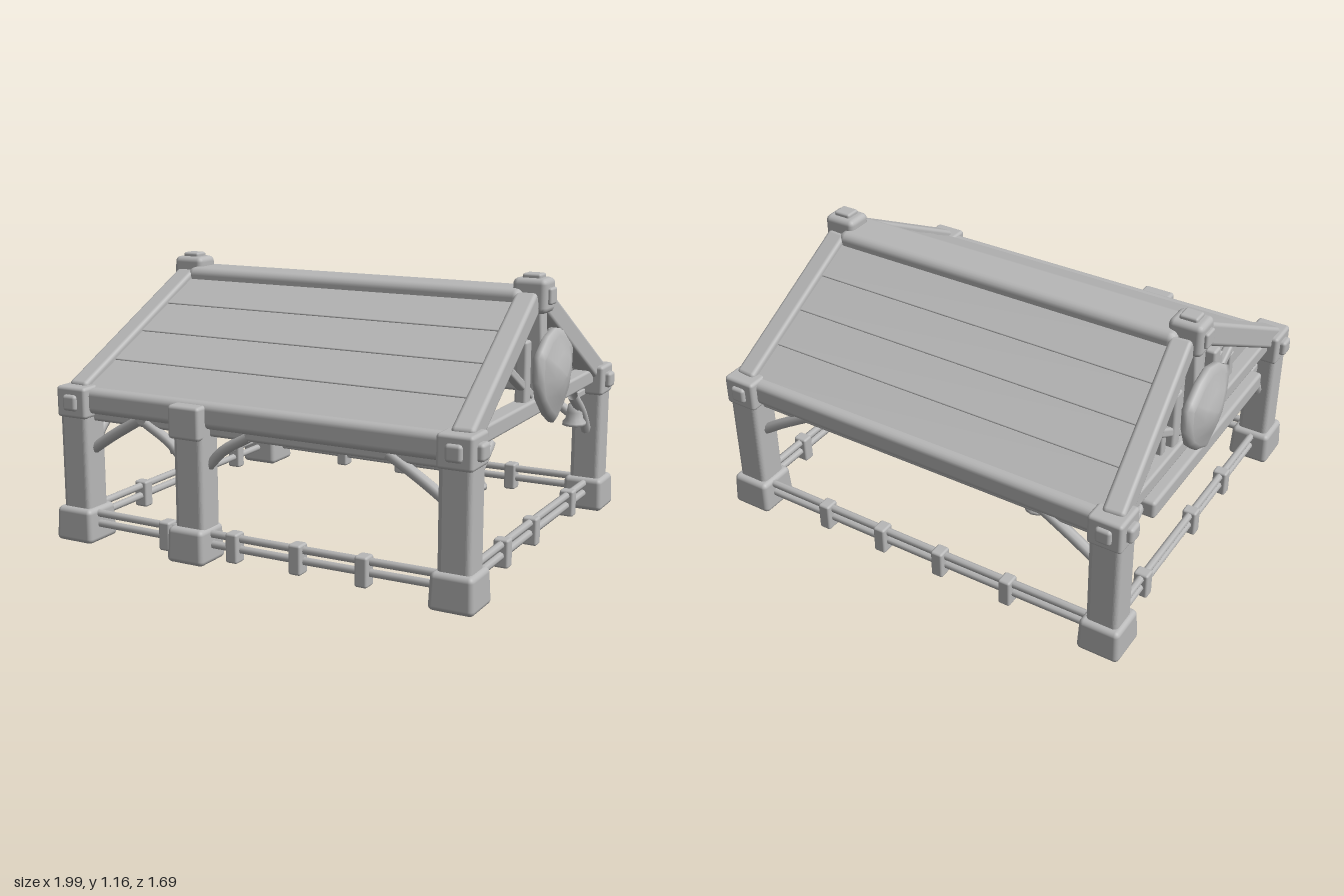
import * as THREE from 'three';
import { RoundedBoxGeometry } from 'three/addons/geometries/RoundedBoxGeometry.js';

const wood = new THREE.MeshStandardMaterial({ color: 0xb8b8b8 });
wood.name = 'pale grey';
wood.side = THREE.DoubleSide;

const V = (x, y, z) => new THREE.Vector3(x, y, z);
const RIDGE_Z = -0.06;

export function createModel() {
  const model = new THREE.Group();
  model.name = 'openShelter';

  function add(name, geometry, pos = V(0, 0, 0)) {
    const mesh = new THREE.Mesh(geometry, wood);
    mesh.name = name;
    mesh.position.copy(pos);
    model.add(mesh);
    return mesh;
  }
  const block = (name, x, y, z, w, h, d, r = 0.015) =>
    add(name, new RoundedBoxGeometry(w, h, d, 2, r), V(x, y, z));

  // Squared timber running from a to b; h is measured upward, w sideways
  function beam(name, a, b, w, h, r = 0.012) {
    const dir = b.clone().sub(a), length = dir.length();
    const mesh = add(name, new RoundedBoxGeometry(w, h, length, 2, r), a.clone().add(b).multiplyScalar(0.5));
    dir.normalize();
    const hint = Math.abs(dir.y) > 0.95 ? V(0, 0, 1) : V(0, 1, 0);
    const side = hint.cross(dir).normalize();
    const up = dir.clone().cross(side);
    mesh.quaternion.setFromRotationMatrix(new THREE.Matrix4().makeBasis(side, up, dir));
    return mesh;
  }
  function rod(name, points, radius) {
    return add(name, new THREE.TubeGeometry(new THREE.CatmullRomCurve3(points), 8, radius, 8));
  }

  // Post with a slightly flared foot and head
  function post(name, x, z) {
    const g = new RoundedBoxGeometry(0.13, 0.46, 0.12, 4, 0.02);
    const p = g.attributes.position;
    for (let i = 0; i < p.count; i++) {
      const k = 1 + 0.1 * Math.abs(p.getY(i) / 0.23) ** 3;
      p.setX(i, p.getX(i) * k);
      p.setZ(i, p.getZ(i) * k);
    }
    g.computeVertexNormals();
    add(name, g, V(x, 0.35, z));
  }

  // Tapered stone-like footing
  function footing(x, z, w) {
    const g = new RoundedBoxGeometry(w, 0.15, w, 3, 0.022);
    const p = g.attributes.position;
    for (let i = 0; i < p.count; i++) {
      const k = 0.96 - p.getY(i) * 0.5;
      p.setX(i, p.getX(i) * k);
      p.setZ(i, p.getZ(i) * k);
    }
    add('footing', g, V(x, 0.08, z));
  }

  // Corner posts, footings, joint blocks and curved braces
  for (const sx of [-1, 1]) for (const sz of [-1, 1]) {
    const x = sx * 0.88, z = sz * 0.745;
    post('cornerPost', x, z);
    footing(x, z, 0.19);
    block('cornerJoint', x, 0.615, z, 0.15, 0.135, 0.15);
    block('jointStud', sx * 0.96, 0.615, z, 0.04, 0.07, 0.07);
    block('jointStud', x, 0.615, sz * 0.82, 0.07, 0.07, 0.03);
    rod('eaveBrace', [V(sx * 0.82, 0.41, z), V(sx * 0.73, 0.47, z), V(sx * 0.58, 0.56, z)], 0.024);
    rod('gableBrace', [V(x, 0.38, sz * 0.69), V(x, 0.47, sz * 0.62), V(x, 0.58, sz * 0.48)], 0.024);
  }

  // Extra post on the front
  post('middlePost', -0.29, 0.755);
  footing(-0.295, 0.765, 0.18);
  block('middleJoint', -0.295, 0.595, 0.775, 0.15, 0.14, 0.13);
  for (const s of [-1, 1]) {
    rod('middleBrace', [V(-0.29 + s * 0.06, 0.41, 0.75), V(-0.29 + s * 0.13, 0.48, 0.75), V(-0.29 + s * 0.25, 0.55, 0.75)], 0.022);
  }
  beam('tieBeam', V(-0.29, 0.57, 0.72), V(-0.29, 0.57, -0.72), 0.07, 0.07);

  // Eave beams with lintels, and the ridge beam
  for (const s of [-1, 1]) {
    block('eaveBeam', 0, 0.62, s * 0.73, 1.72, 0.11, 0.12, 0.03);
    block('lintel', 0, 0.56, s * 0.715, 1.7, 0.06, 0.08);
  }
  block('ridgeBeam', 0, 1.055, RIDGE_Z, 1.64, 0.11, 0.21, 0.035);

  // Roof slopes: overlapping boards, outer rafters and inner rafters
  for (const s of [-1, 1]) {
    const top = V(0, 1.055, RIDGE_Z + s * 0.08), low = V(0, 0.655, s * 0.74);
    for (let i = 0; i < 4; i++) {
      const a = top.clone().lerp(low, i / 4), b = top.clone().lerp(low, (i + 1.06) / 4);
      a.y += 0.002; b.y += 0.008;
      const half = 0.815 + i * 0.012;
      beam('roofBoard', a, b, half * 2, 0.025, 0.005);
    }
    for (let i = 0; i < 6; i++) {
      const x = -0.65 + i * 0.26;
      beam('innerRafter', V(x, 1.01, top.z), V(x, 0.625, low.z), 0.045, 0.05);
    }
    for (const sx of [-1, 1]) {
      beam('outerRafter', V(sx * 0.835, 1.06, RIDGE_Z + s * 0.05), V(sx * 0.885, 0.645, s * 0.745), 0.095, 0.1, 0.018);
    }
  }

  // Shield: rings of the outline, scaled inward and raised into a dome
  const half = [[0, 0.2], [0.09, 0.175], [0.16, 0.125], [0.195, 0.105], [0.19, 0], [0.155, -0.085], [0.085, -0.15], [0, -0.2]];
  const outline = [...half, ...half.slice(1, -1).reverse().map(([u, v]) => [-u, v])];
  const rings = [[0.9, 0], [1, 0.012], [1, 0.035], [0.86, 0.052], [0.82, 0.046], [0.5, 0.073], [0.2, 0.085], [0, 0.088]];
  function shieldGeometry() {
    const pos = [], index = [], n = outline.length;
    for (const [k, d] of rings) for (const [u, v] of outline) pos.push(u * k, v * k, d);
    for (let r = 0; r < rings.length - 1; r++) for (let i = 0; i < n; i++) {
      const a = r * n + i, b = r * n + (i + 1) % n;
      index.push(a, a + n, b, b, a + n, b + n);
    }
    for (let i = 1; i < n - 1; i++) index.push(0, i, i + 1);
    const g = new THREE.BufferGeometry();
    g.setAttribute('position', new THREE.Float32BufferAttribute(pos, 3));
    g.setIndex(index);
    g.computeVertexNormals();
    return g;
  }

  // Gable ends: ridge joint, king post, tie, struts and shield
  for (const s of [-1, 1]) {
    const x = s * 0.87;
    block('ridgeJoint', s * 0.84, 1.08, RIDGE_Z, 0.15, 0.145, 0.125, 0.025);
    block('ridgeStud', s * 0.84, 1.155, RIDGE_Z, 0.08, 0.03, 0.07, 0.01);
    block('ridgeStud', s * 0.915, 1.08, RIDGE_Z, 0.03, 0.07, 0.07, 0.01);
    beam('kingPost', V(x, 0.64, RIDGE_Z), V(s * 0.85, 1.03, RIDGE_Z), 0.075, 0.075);
    beam('gableTie', V(x, 0.635, -0.7), V(x, 0.635, 0.7), 0.08, 0.07);
    for (const side of [-1, 1]) {
      beam('gableStrut', V(x, 0.65, RIDGE_Z + side * 0.18), V(x, 0.92, RIDGE_Z + side * 0.18), 0.05, 0.06);
      beam('diagonalStrut', V(x, 0.68, RIDGE_Z + side * 0.1), V(x, 0.83, RIDGE_Z + side * 0.36), 0.04, 0.04);
    }
    const shield = add('shield', shieldGeometry(), V(s * 0.905, 0.75, RIDGE_Z - 0.005));
    shield.rotation.y = s * Math.PI / 2;
  }

  // Boarded right gable, and its shelf
  const gable = new THREE.Shape([[-0.66, 0.62], [0.66, 0.62], [0.02, 1.02], [-0.14, 1.02]].map(([z, y]) => new THREE.Vector2(-z, y)));
  const panel = add('gablePanel', new THREE.ExtrudeGeometry(gable, { depth: 0.02, bevelEnabled: false }), V(-0.85, 0, 0));
  panel.rotation.y = Math.PI / 2;
  for (const z of [-0.45, -0.32, 0.2, 0.33]) {
    const top = 1.06 - Math.abs(z - RIDGE_Z) * 0.56 - 0.06;
    block('gableBatten', -0.86, (0.63 + top) / 2, z, 0.035, top - 0.63, 0.04, 0.008);
  }
  block('gableShelf', -0.885, 0.55, 0, 0.13, 0.08, 1.06);
  beam('shelfBeam', V(-0.86, 0.535, -0.62), V(-0.86, 0.535, 0.64), 0.06, 0.05);

  // Low double rails held by clamps on all four sides
  for (const s of [-1, 1]) {
    for (const y of [0.085, 0.13]) {
      rod('longRail', [V(-0.86, y, s * 0.765), V(0, y - 0.004, s * 0.765), V(0.86, y, s * 0.765)], 0.017);
      rod('sideRail', [V(s * 0.885, y, -0.72), V(s * 0.885, y + 0.003, 0), V(s * 0.885, y, 0.72)], 0.017);
    }
    for (const x of [-0.43, -0.1, 0.195, 0.49]) block('railClamp', x, 0.09, s * 0.77, 0.055, 0.125, 0.065, 0.01);
    for (const z of [0.33, 0.01, -0.45]) block('railClamp', s * 0.885, 0.095, z, 0.065, 0.12, 0.052, 0.01);
  }

  // Hanging bells
  const bellProfile = [[0, 0.1], [0.03, 0.095], [0.036, 0.06], [0.04, 0.03], [0.054, 0.012], [0.054, 0], [0.04, 0], [0, 0.03]]
    .map(([r, y]) => new THREE.Vector2(r, y)).reverse();
  for (const [x, y, z] of [[-0.46, 0.405, 0.61], [-0.47, 0.42, -0.6], [0.86, 0.425, 0.59], [0.86, 0.425, -0.575]]) {
    add('bell', new THREE.LatheGeometry(bellProfile, 12), V(x, y, z));
    rod('bellHanger', [V(x, y + 0.08, z), V(x, 0.53, z), V(x, 0.6, z)], 0.012);
    const end = Math.abs(x) > 0.8 ? V(x, 0.56, Math.sign(z) * 0.7) : V(x, 0.56, Math.sign(z) * 0.72);
    beam('bellArm', V(x, 0.56, z), end, 0.03, 0.03, 0.006);
  }

  return model;
}
